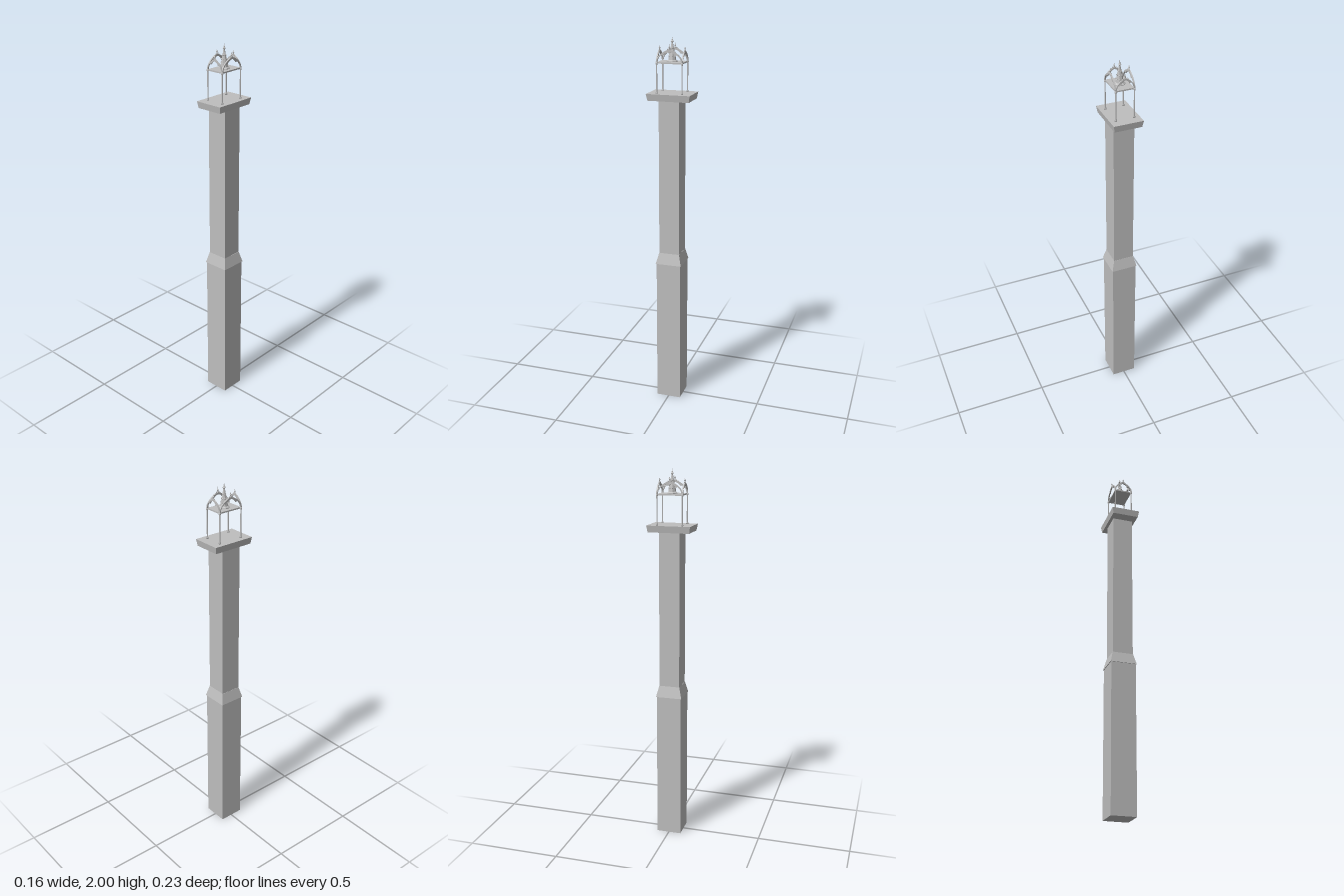
import * as THREE from 'three';

const stone = new THREE.MeshStandardMaterial({ color: 0xbebebe });
stone.name = 'grey stone';

const HX = 0.048, HZ = 0.067; // half spacing of the lantern posts

function add(parent, name, geometry, x = 0, y = 0, z = 0) {
  const mesh = new THREE.Mesh(geometry, stone);
  mesh.name = name;
  mesh.position.set(x, y, z);
  parent.add(mesh);
  return mesh;
}

// Box whose base and top may differ, standing on y = 0
function taperedBox(bx, bz, tx, tz, h) {
  const g = new THREE.BoxGeometry(1, h, 1).translate(0, h / 2, 0);
  const p = g.attributes.position;
  for (let i = 0; i < p.count; i++) {
    const top = p.getY(i) > h / 2;
    p.setX(i, p.getX(i) * 2 * (top ? tx : bx));
    p.setZ(i, p.getZ(i) * 2 * (top ? tz : bz));
  }
  g.computeVertexNormals();
  return g;
}

const lathe = (pts, sides) =>
  new THREE.LatheGeometry(pts.map(([r, y]) => new THREE.Vector2(r, y)), sides).toNonIndexed();

function flatLathe(pts, sides) {
  const g = lathe(pts, sides);
  g.computeVertexNormals();
  return g;
}

// Flat gothic arch with a cusped inner edge, in the xy plane
function archGeometry(w, h) {
  const s = new THREE.Shape();
  const o = w + 0.003;
  s.moveTo(-o, 0);
  s.bezierCurveTo(-o, h * 0.45, -o * 0.55, h * 0.82, 0, h);
  s.bezierCurveTo(o * 0.55, h * 0.82, o, h * 0.45, o, 0);
  const i = w - 0.004;
  s.lineTo(i, 0);
  s.quadraticCurveTo(i, h * 0.4, i * 0.62, h * 0.6);
  s.lineTo(i * 0.5, h * 0.54);
  s.quadraticCurveTo(i * 0.36, h * 0.78, 0, h * 0.84);
  s.quadraticCurveTo(-i * 0.36, h * 0.78, -i * 0.5, h * 0.54);
  s.lineTo(-i * 0.62, h * 0.6);
  s.quadraticCurveTo(-i, h * 0.4, -i, 0);
  return new THREE.ExtrudeGeometry(s, { depth: 0.007, bevelEnabled: false, curveSegments: 8 })
    .translate(0, 0, -0.0035);
}

// One lantern face: arch, small finial and leaf buds beside it
function lanternFace(name, w, h, tip) {
  const face = new THREE.Group();
  face.name = name;
  add(face, 'arch', archGeometry(w, h));
  add(face, 'archFinial', flatLathe(
    [[0, 0], [0.004, 0.002], [0.0025, 0.012], [0.005, 0.016], [0.002, 0.02], [0, tip - h + 0.006]], 6), 0, h - 0.006);
  for (const side of [-1, 1]) {
    for (const [x, y] of [[0.008, -0.001], [0.016, -0.008]]) {
      const bud = add(face, 'leafBud', new THREE.OctahedronGeometry(0.004), side * x, h + y);
      bud.scale.set(1.1, 1.2, 0.7);
    }
  }
  return face;
}

export function createModel() {
  const model = new THREE.Group();
  model.name = 'pillarWithLantern';

  // Pillar
  add(model, 'lowerShaft', taperedBox(0.067, 0.067, 0.067, 0.067, 0.80));
  add(model, 'shoulder', taperedBox(0.071, 0.071, 0.056, 0.056, 0.06), 0, 0.80);
  add(model, 'upperShaft', taperedBox(0.055, 0.055, 0.055, 0.055, 0.83), 0, 0.86);
  add(model, 'capSlab', taperedBox(0.072, 0.110, 0.078, 0.116, 0.035), 0, 1.685);

  // Lantern posts with small feet and collars
  const lantern = new THREE.Group();
  lantern.name = 'lantern';
  model.add(lantern);
  for (const sx of [-1, 1]) for (const sz of [-1, 1]) {
    add(lantern, 'post', lathe(
      [[0, 0], [0.006, 0], [0.006, 0.005], [0.0033, 0.01], [0.0033, 0.144], [0.0055, 0.149], [0.0055, 0.157], [0, 0.16]], 8),
      sx * HX, 1.72, sz * HZ);
  }

  // Ceiling plate and four arched faces
  add(lantern, 'ceilingPlate', new THREE.BoxGeometry(2 * HX, 0.007, 2 * HZ), 0, 1.874, 0);
  for (const s of [-1, 1]) {
    const front = lanternFace(s > 0 ? 'frontArch' : 'backArch', HX, 0.062, 0.084);
    front.position.set(0, 1.873, s * HZ);
    const side = lanternFace(s > 0 ? 'leftArch' : 'rightArch', HZ, 0.07, 0.097);
    side.position.set(s * HX, 1.873, 0);
    side.rotation.y = Math.PI / 2;
    lantern.add(front, side);
  }

  // Central eight-sided spire with leaf buds up its ribs
  const spire = new THREE.Group();
  spire.name = 'spire';
  spire.position.y = 1.875;
  lantern.add(spire);
  const body = add(spire, 'spireBody', flatLathe(
    [[0.028, 0], [0.028, 0.006], [0.02, 0.012], [0.016, 0.035], [0.012, 0.055], [0.006, 0.085],
      [0.004, 0.097], [0.008, 0.102], [0.004, 0.108], [0, 0.125]], 8));
  body.rotation.y = Math.PI / 8;
  for (let i = 0; i < 8; i++) {
    const a = i * Math.PI / 4 + Math.PI / 8;
    for (const [r, y] of [[0.018, 0.03], [0.014, 0.05], [0.0095, 0.07]]) {
      add(spire, 'spireBud', new THREE.OctahedronGeometry(0.0035), Math.sin(a) * r, y, Math.cos(a) * r);
    }
  }
  return model;
}
